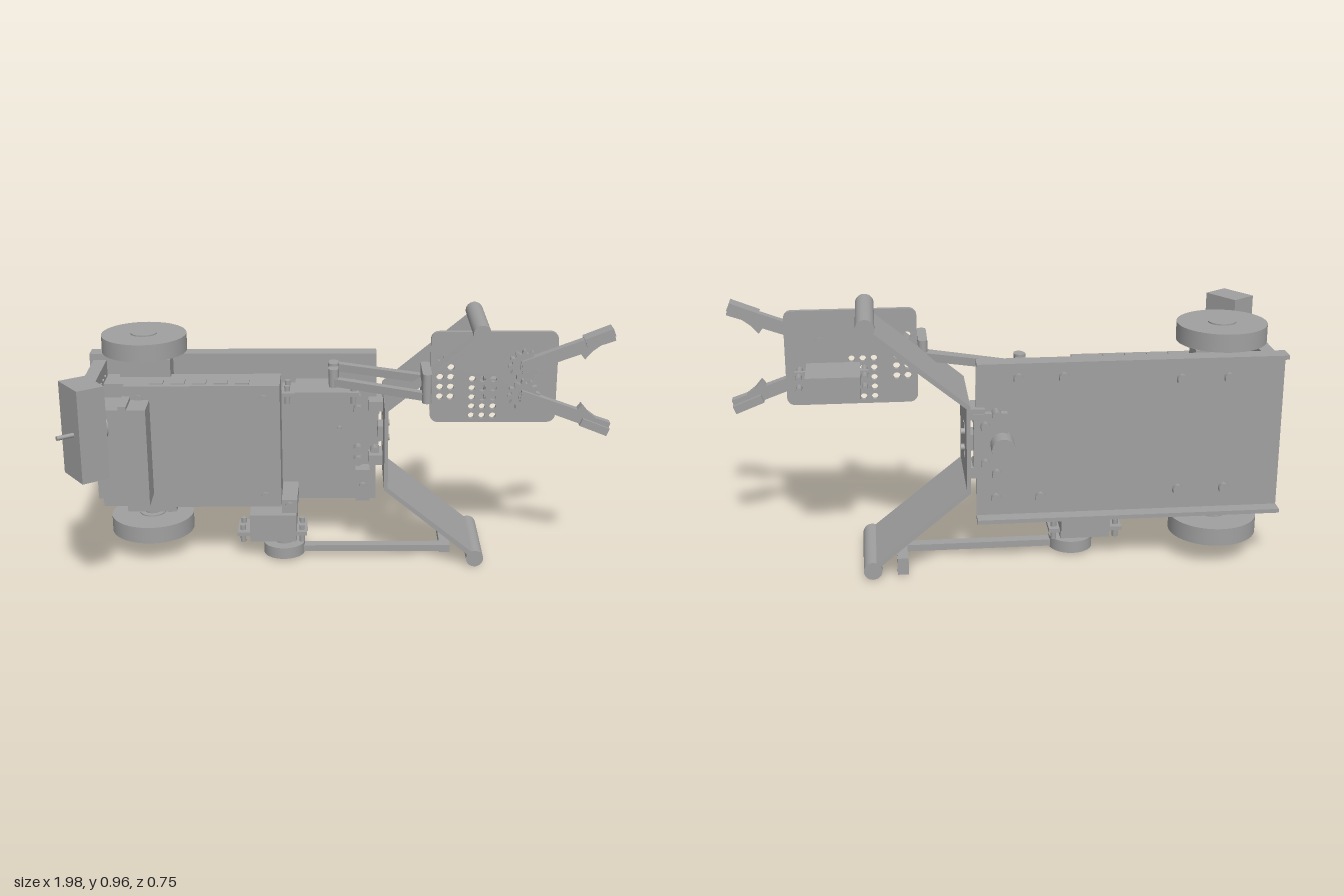
import * as THREE from 'three';

const grey = new THREE.MeshStandardMaterial({ color: 0xa0a0a0 });
grey.name = 'grey';

export function createModel() {
  const root = new THREE.Group();
  root.name = 'robot';

  const add = (name, geo, parent = root) => {
    const m = new THREE.Mesh(geo, grey);
    m.name = name;
    parent.add(m);
    return m;
  };
  // box from its limits on each axis
  const box = (name, x0, x1, y0, y1, z0, z1, parent) => {
    const m = add(name, new THREE.BoxGeometry(x1 - x0, y1 - y0, z1 - z0), parent);
    m.position.set((x0 + x1) / 2, (y0 + y1) / 2, (z0 + z1) / 2);
    return m;
  };
  // cylinder centred at a point along an axis
  const cyl = (name, axis, r, len, x, y, z, seg = 32, parent) => {
    const g = new THREE.CylinderGeometry(r, r, len, seg);
    if (axis === 'x') g.rotateZ(Math.PI / 2);
    if (axis === 'z') g.rotateX(Math.PI / 2);
    const m = add(name, g, parent);
    m.position.set(x, y, z);
    return m;
  };
  const extrude = (shape, depth) =>
    new THREE.ExtrudeGeometry(shape, { depth, bevelEnabled: false, curveSegments: 10 });
  const hole = (shape, x, y, r) => {
    const p = new THREE.Path();
    p.absarc(x, y, r, 0, Math.PI * 2, true);
    shape.holes.push(p);
  };
  const poly = pts => new THREE.Shape(pts.map(p => new THREE.Vector2(p[0], p[1])));
  // round-ended horizontal link between two (x, z) points
  const link = (name, a, b, r, y0, y1) => {
    const dx = b[0] - a[0], dz = b[1] - a[1], L = Math.hypot(dx, dz);
    const s = new THREE.Shape();
    s.absarc(0, 0, r, Math.PI / 2, Math.PI * 1.5, false);
    s.absarc(L, 0, r, -Math.PI / 2, Math.PI / 2, false);
    const m = add(name, extrude(s, y1 - y0).rotateX(-Math.PI / 2));
    m.position.set(a[0], y0, a[1]);
    m.rotation.y = -Math.atan2(dz, dx);
  };

  // chassis: channel open to the back
  box('chassisPlate', -0.97, 0.13, 0.19, 0.79, -0.28, -0.265);
  for (const y of [0.19, 0.775]) box('chassisFlange', -0.97, 0.13, y, y + 0.015, -0.33, -0.265);
  for (const [x, y] of [[-0.6, 0.7], [-0.77, 0.7], [-0.6, 0.28], [-0.77, 0.28], [-0.18, 0.72],
    [-0.02, 0.72], [-0.1, 0.27], [0.06, 0.27]]) cyl('backBolt', 'z', 0.02, 0.03, x, y, -0.285, 6);
  for (const [x, y] of [[0.06, 0.615], [0.06, 0.57], [0.06, 0.405], [0.06, 0.36], [0.125, 0.57], [0.125, 0.4]])
    cyl('frontBolt', 'z', 0.02, 0.05, x, y, -0.25, 6);
  cyl('smallBolt', 'z', 0.01, 0.02, -0.013, 0.487, -0.258, 8);

  // drive motors and wheels
  for (const s of [-1, 1]) {
    const y = d => 0.4875 + s * d;
    const span = (n, x0, x1, a, b, z0, z1) => box(n, x0, x1, Math.min(y(a), y(b)), Math.max(y(a), y(b)), z0, z1);
    span('motor', -0.84, -0.65, 0.1, 0.31, -0.265, -0.16);
    cyl('axle', 'y', 0.03, 0.08, -0.75, y(0.325), -0.215, 16);
    cyl('wheel', 'y', 0.16, 0.065, -0.75, y(0.366), -0.215, 48);
    cyl('hub', 'y', 0.05, 0.075, -0.75, y(0.366), -0.215, 24);
    cyl('motorBolt', 'y', 0.014, 0.04, -0.68, y(0.31), -0.215, 8);
  }

  // electronics case on standoffs, with battery box in front
  box('case', -0.815, -0.235, 0.245, 0.73, -0.2, -0.05);
  for (const x of [-0.76, -0.295]) for (const y of [0.29, 0.68]) {
    cyl('standoff', 'z', 0.015, 0.07, x, y, -0.232, 12);
    cyl('caseScrew', 'z', 0.015, 0.008, x, y, -0.047, 16);
  }
  for (let i = 0; i < 5; i++)
    for (const y of [0.24, 0.725]) box('connector', -0.72 + i * 0.08, -0.67 + i * 0.08, y, y + 0.01, -0.12, -0.07);
  box('batteryBox', -0.89, -0.72, 0.3, 0.677, -0.16, 0.07);
  box('batteryTray', -0.89, -0.8, 0.25, 0.73, -0.2, -0.08);
  box('batteryLatch', -0.82, -0.79, 0.677, 0.69, -0.06, 0.07);

  // scoop: centre panel with sensor window and two angled wings
  const panel = poly([[0.02, 0.325], [0.36, 0.325], [0.36, 0.65], [0.02, 0.65]]);
  for (const [a, b] of [[0.42, 0.455], [0.515, 0.55]])
    panel.holes.push(new THREE.Path([[0.215, a], [0.215, b], [0.275, b], [0.275, a]].map(p => new THREE.Vector2(...p))));
  hole(panel, 0.19, 0.435, 0.006);
  hole(panel, 0.19, 0.535, 0.006);
  add('scoopPanel', extrude(panel, 0.014).rotateY(Math.PI / 2)).position.x = 0.155;
  for (const s of [-1, 1]) {
    const y = d => 0.4865 + s * d;
    const pts = [[0.155, y(0.162)], [0.169, y(0.154)], [0.52, y(0.44)], [0.507, y(0.455)]];
    add('scoopWing', extrude(poly(s > 0 ? pts : pts.reverse()), 0.34)).position.z = -0.36;
    cyl('scoopRoller', 'z', 0.033, 0.34, 0.508, y(0.449), -0.19, 40);
    cyl('sensorEye', 'x', 0.012, 0.02, 0.172, y(0.03), -0.245, 16);
    box('sensorBracket', 0.1, 0.157, Math.min(y(0.09), y(0.13)), Math.max(y(0.09), y(0.13)), -0.3, -0.2);
    cyl('bracketBolt', 'z', 0.018, 0.06, 0.1, y(0.07), -0.3, 6);
    cyl('bracketBolt', 'z', 0.018, 0.06, 0.06, y(0.11), -0.3, 6);
  }
  box('sensorBoard', 0.135, 0.157, 0.455, 0.515, -0.28, -0.2);
  box('sensorMount', 0.02, 0.14, 0.37, 0.6, -0.305, -0.28);
  cyl('caster', 'z', 0.042, 0.1, 0.04, 0.487, -0.325, 24);

  // two arm servos with ears, screws and horns
  const servo = (name, x0, x1, y0, y1, earY) => {
    const g = new THREE.Group();
    g.name = name;
    root.add(g);
    box('servoBody', x0, x1, y0, y1, -0.25, -0.08, g);
    box('servoEars', x0 - 0.05, x1 + 0.04, earY, earY + 0.015, -0.23, -0.1, g);
    for (const x of [x0 - 0.03, x1 + 0.02]) for (const z of [-0.2, -0.13])
      cyl('servoScrew', 'y', 0.011, 0.07, x, earY, z, 10, g);
    box('servoMount', x0, x1, y0 + 0.03, y1 - 0.03, -0.268, -0.25, g);
  };
  servo('upperServo', -0.18, 0.02, 0.585, 0.695, 0.67);
  servo('lowerServo', -0.36, -0.18, 0.085, 0.195, 0.1);
  box('post', -0.235, -0.175, 0.205, 0.26, -0.266, -0.08);
  cyl('postScrew', 'z', 0.02, 0.02, -0.205, 0.233, -0.075, 6);
  box('sideSensor', 0.05, 0.105, 0.205, 0.335, -0.266, -0.2);
  cyl('sideSensorScrew', 'z', 0.015, 0.02, 0.078, 0.27, -0.195, 12);

  // upper arm: horn, twin rods and upright end
  cyl('upperHornShaft', 'y', 0.02, 0.1, -0.035, 0.73, -0.18, 16);
  link('upperHorn', [-0.035, -0.235], [-0.035, -0.135], 0.018, 0.7, 0.77);
  link('upperRod', [-0.035, -0.235], [0.305, -0.08], 0.015, 0.735, 0.765);
  link('upperRod', [-0.035, -0.135], [0.305, 0.04], 0.015, 0.705, 0.735);
  link('upperArmEnd', [0.305, -0.08], [0.305, 0.055], 0.017, 0.7, 0.81);

  // lower arm: disc, bar and inward hook
  cyl('lowerDisc', 'y', 0.08, 0.045, -0.23, 0.037, -0.15, 40);
  cyl('lowerDiscShaft', 'y', 0.035, 0.07, -0.23, 0.06, -0.15, 20);
  cyl('lowerDiscCap', 'y', 0.025, 0.055, -0.23, 0.037, -0.15, 16);
  box('lowerArm', -0.2, 0.42, 0.02, 0.045, -0.17, -0.13);
  box('lowerArmHook', 0.38, 0.42, 0.015, 0.045, -0.35, -0.13);
  box('lowerArmTip', 0.38, 0.42, 0.015, 0.078, -0.35, -0.31);

  // gripper plate with rows of holes
  const x0 = 0.325, x1 = 0.795, y0 = 0.58, y1 = 0.93, r = 0.03;
  const plate = new THREE.Shape();
  plate.absarc(x1 - r, y0 + r, r, -Math.PI / 2, 0, false);
  plate.absarc(x1 - r, y1 - r, r, 0, Math.PI / 2, false);
  plate.absarc(x0 + r, y1 - r, r, Math.PI / 2, Math.PI, false);
  plate.absarc(x0 + r, y0 + r, r, Math.PI, Math.PI * 1.5, false);
  for (let i = 0; i < 5; i++) {
    for (const x of [0.36, 0.4]) hole(plate, x, 0.68 + i * 0.038, 0.013);
    for (const x of [0.48, 0.52, 0.56]) hole(plate, x, 0.605 + i * 0.036, 0.012);
  }
  add('gripperPlate', extrude(plate, 0.018)).position.z = -0.09;
  box('gripperServo', 0.53, 0.72, 0.65, 0.74, -0.275, -0.1);
  box('gripperServoEars', 0.5, 0.76, 0.66, 0.73, -0.17, -0.155);
  for (const x of [0.515, 0.745]) for (const y of [0.675, 0.715])
    cyl('gripperServoScrew', 'z', 0.011, 0.13, x, y, -0.15, 8);

  // meshing gears and curved fingers
  const gear = new THREE.Shape();
  for (let i = 0; i < 48; i++) {
    const a = (i / 48) * Math.PI * 2, q = i % 4 < 2 ? 0.06 : 0.047;
    gear[i ? 'lineTo' : 'moveTo'](q * Math.cos(a), q * Math.sin(a));
  }
  for (const [y, s] of [[0.81, 1], [0.695, -1]]) {
    add('gear', extrude(gear, 0.025)).position.set(0.67, y, -0.06);
    cyl('gearBolt', 'z', 0.022, 0.07, 0.67, y, -0.06, 6);
    const f = [[-0.01, -0.025], [0.2, 0.05], [0.215, 0.03], [0.24, 0.06], [0.27, 0.083], [0.325, 0.102],
      [0.312, 0.146], [0.22, 0.108], [-0.015, 0.02]].map(p => [p[0], p[1] * s]);
    add('finger', extrude(poly(s > 0 ? f : f.reverse()), 0.035)).position.set(0.67, y, -0.055);
    box('fingerPad', 0.88, 0.99, y + (s > 0 ? 0.1 : -0.13), y + (s > 0 ? 0.13 : -0.1), -0.07, -0.008)
      .rotation.z = s * 0.38;
  }

  // head bracket: channel reaching forward from the chassis
  box('headBracket', -0.917, -0.905, 0.588, 0.766, -0.265, 0.2);
  for (const y of [0.588, 0.754]) box('headBracketFlange', -0.955, -0.905, y, y + 0.012, -0.265, 0.2);
  for (let i = 0; i < 8; i++)
    for (const y of [0.63, 0.72]) cyl('bracketRivet', 'x', 0.006, 0.006, -0.903, y, -0.2 + i * 0.05, 8);
  box('headBracketEnd', -0.975, -0.89, 0.6, 0.755, 0.19, 0.205);

  // head turned sideways, with lens and rear rod
  const head = new THREE.Group();
  head.name = 'head';
  head.position.set(-0.905, 0.68, 0.282);
  head.rotation.y = 0.61;
  root.add(head);
  box('headBody', -0.052, 0.052, -0.17, 0.17, -0.073, 0.073, head);
  cyl('lensRing', 'x', 0.045, 0.03, 0.06, 0, -0.005, 32, head);
  cyl('lens', 'x', 0.03, 0.04, 0.062, 0, -0.005, 24, head);
  cyl('rearRod', 'x', 0.008, 0.07, -0.08, 0, 0.025, 12, head);

  return root;
}
